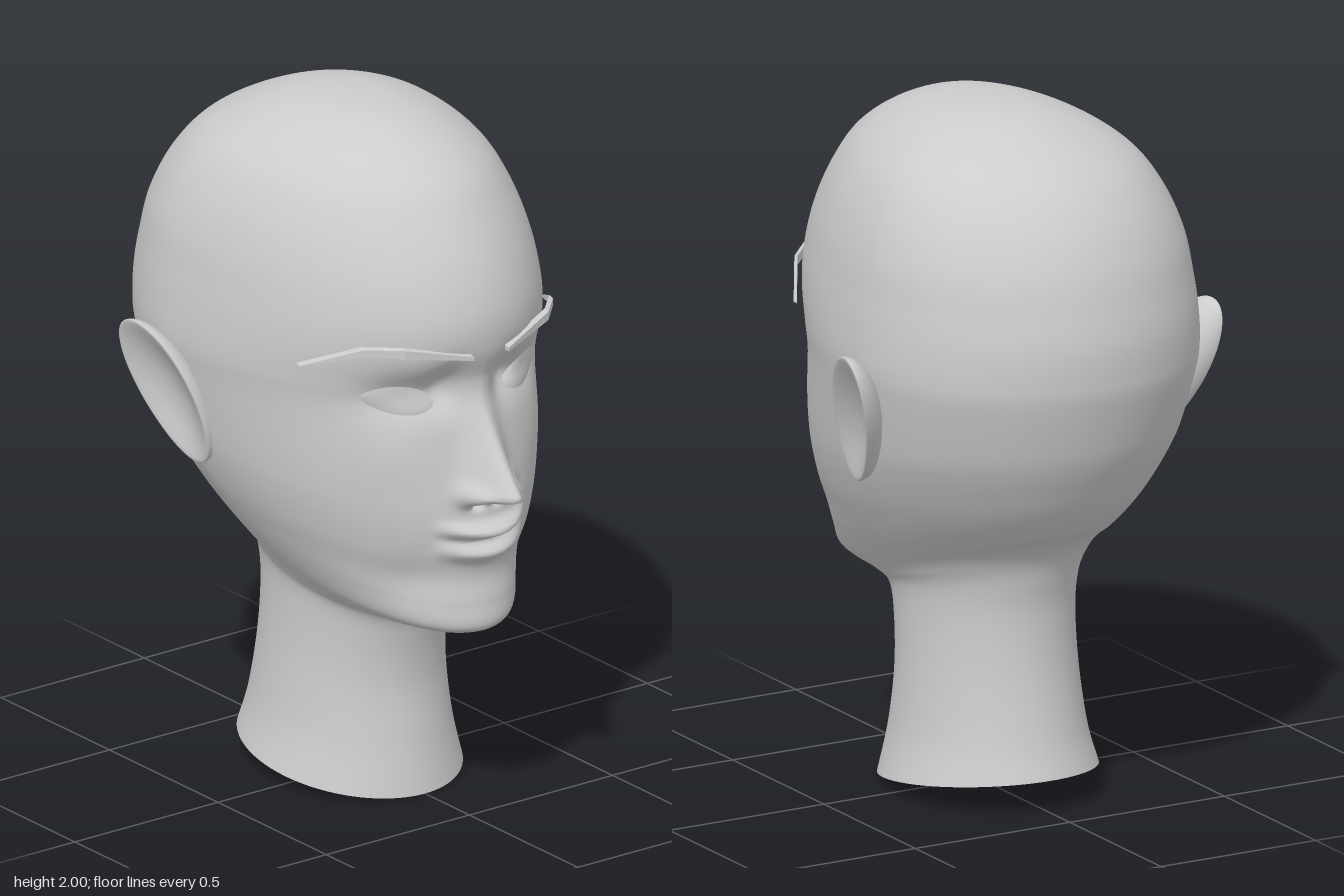
import * as THREE from 'three';
import { mergeVertices } from 'three/addons/utils/BufferGeometryUtils.js';

const material = new THREE.MeshStandardMaterial({ color: 0xcccccc, side: THREE.DoubleSide });

// Head and neck sections, bottom to top:
// front y, front z, back y, back z, half width, z of the widest point
const SECTIONS = [
  [0.00, 0.295, 0.095, -0.40, 0.295, -0.05],
  [0.15, 0.27, 0.20, -0.37, 0.262, -0.05],
  [0.31, 0.25, 0.38, -0.34, 0.242, -0.04],
  [0.45, 0.262, 0.55, -0.333, 0.235, -0.03],
  [0.535, 0.295, 0.66, -0.35, 0.24, -0.03],
  [0.555, 0.38, 0.73, -0.375, 0.26, -0.03],
  [0.56, 0.50, 0.785, -0.42, 0.28, -0.03],
  [0.585, 0.58, 0.83, -0.485, 0.307, -0.04],
  [0.66, 0.58, 0.88, -0.535, 0.348, -0.06],
  [0.74, 0.566, 0.93, -0.575, 0.385, -0.08],
  [0.82, 0.575, 0.99, -0.612, 0.42, -0.10],
  [0.92, 0.585, 1.06, -0.65, 0.452, -0.13],
  [1.02, 0.58, 1.13, -0.677, 0.474, -0.16],
  [1.22, 0.552, 1.27, -0.715, 0.502, -0.20],
  [1.32, 0.56, 1.34, -0.723, 0.512, -0.20],
  [1.42, 0.592, 1.43, -0.722, 0.507, -0.20],
  [1.52, 0.594, 1.52, -0.705, 0.495, -0.20],
  [1.64, 0.557, 1.64, -0.67, 0.473, -0.20],
  [1.76, 0.49, 1.76, -0.605, 0.428, -0.18],
  [1.86, 0.41, 1.86, -0.51, 0.36, -0.15],
  [1.94, 0.28, 1.94, -0.365, 0.25, -0.10],
  [1.987, 0.13, 1.987, -0.22, 0.125, -0.07],
  [2.00, -0.07, 2.00, -0.07, 0, -0.07],
];

// Smooth interpolation between neighbouring sections
function sectionAt(t) {
  const last = SECTIONS.length - 1;
  const i = Math.min(Math.floor(t), last - 1), f = t - i;
  const at = (k) => SECTIONS[Math.max(0, Math.min(last, k))];
  return SECTIONS[0].map((_, c) => {
    const a = at(i - 1)[c], b = at(i)[c], d = at(i + 1)[c], e = at(i + 2)[c];
    return b + 0.5 * f * (d - a + f * (2 * a - 5 * b + 4 * d - e + f * (3 * (b - d) + e - a)));
  });
}

// Surface through closed rings that all have the same number of points
function loft(rings) {
  const n = rings[0].length, index = [];
  for (let j = 0; j < rings.length - 1; j++) {
    for (let i = 0; i < n; i++) {
      const k = (i + 1) % n;
      const a = j * n + i, b = j * n + k, c = b + n, d = a + n;
      index.push(a, b, c, a, c, d);
    }
  }
  const geometry = new THREE.BufferGeometry();
  geometry.setAttribute('position', new THREE.Float32BufferAttribute(rings.flat(2), 3));
  geometry.setIndex(index);
  geometry.computeVertexNormals();
  return geometry;
}

const bump = (dx, sx, dy, sy) => Math.exp(-((dx / sx) ** 2) - (dy / sy) ** 2);

// Forward relief of the face
function relief(x, y) {
  const a = Math.abs(x);
  // nose ridge, wings and nostrils
  const rise = THREE.MathUtils.clamp((1.34 - y) / 0.33, 0, 1) ** 1.5;
  const width = 0.042 + 0.018 * rise;
  let d = 0.155 * rise * THREE.MathUtils.smoothstep(y, 0.955, 1.012) * Math.exp(-((a / width) ** 2));
  d += 0.04 * bump(a - 0.07, 0.028, y - 1.0, 0.03);
  d -= 0.03 * bump(a - 0.035, 0.018, y - 0.965, 0.012);
  // eye sockets
  d -= 0.04 * bump(a - 0.2, 0.1, y - 1.29, 0.06);
  d -= 0.04 * bump(a - 0.1, 0.05, y - 1.31, 0.07);
  // cheekbones and the hollows beside the chin
  d += 0.012 * bump(a - 0.27, 0.1, y - 1.12, 0.1);
  d -= 0.018 * bump(a - 0.2, 0.07, y - 0.72, 0.08);
  // smiling mouth
  const m = Math.max(0, 1 - (a / 0.16) ** 2), my = y - 0.9 * x * x;
  d += 0.012 * bump(x, 0.15, y - 0.86, 0.1);
  d += m * (0.045 * bump(0, 1, my - 0.885, 0.02) + 0.036 * bump(0, 1, my - 0.818, 0.024));
  d -= m * 0.01 * bump(0, 1, my - 0.856, 0.01);
  return d;
}

function headGeometry() {
  const rows = (SECTIONS.length - 1) * 12, sides = 180, rings = [];
  for (let j = 0; j <= rows; j++) {
    const [yf, zf, yb, zb, w, zc] = sectionAt(j / 12);
    const ring = [];
    for (let i = 0; i < sides; i++) {
      // points gather towards the face
      const s = (2 * i) / sides - 1;
      const angle = Math.PI * Math.sign(s) * Math.abs(s) ** 1.5;
      const c = Math.cos(angle), x = w * Math.sin(angle);
      const y = yb + ((yf - yb) * (1 + c)) / 2;
      const z = zc + c * (c > 0 ? zf - zc : zc - zb);
      ring.push([x, y, z + (c > 0 ? relief(x, y) : 0)]);
    }
    rings.push(ring);
  }
  return loft(rings);
}

// Almond-shaped patch lying on the skin
function eyeGeometry(skin) {
  const geometry = new THREE.PlaneGeometry(2, 2, 20, 10);
  const p = geometry.attributes.position;
  const ray = new THREE.Raycaster(), back = new THREE.Vector3(0, 0, -1);
  for (let i = 0; i < p.count; i++) {
    const u = p.getX(i), v = p.getY(i);
    const x = 0.212 + 0.093 * u;
    const y = 1.278 + 0.012 * u + 0.042 * v * Math.max(0, 1 - u * u) ** 0.7;
    ray.set(new THREE.Vector3(x, y, 2), back);
    const hit = ray.intersectObject(skin)[0];
    const z = hit ? hit.point.z : 0.43;
    p.setXYZ(i, x, y, z + 0.003 + 0.016 * (1 - u * u) * (1 - v * v));
  }
  geometry.computeVertexNormals();
  return geometry;
}

// Thin angular strip: x, upper y, lower y, z
function browGeometry() {
  const stations = [
    [0.06, 1.42, 1.405, 0.603],
    [0.25, 1.462, 1.433, 0.535],
    [0.33, 1.457, 1.431, 0.45],
    [0.43, 1.382, 1.376, 0.285],
  ];
  const rings = stations.map(([x, top, low, z]) => [
    [x, top, z - 0.018], [x, top - 0.004, z], [x, low, z], [x, low, z - 0.018],
  ]);
  const cap = (r) => r.map(() => r[0]);
  return loft([cap(rings[0]), ...rings, cap(rings[3])]).toNonIndexed();
}

// Egg-shaped ear, dished outside and tapering into the head
function earGeometry() {
  let geometry = new THREE.SphereGeometry(1, 48, 32);
  const p = geometry.attributes.position;
  for (let i = 0; i < p.count; i++) {
    const t = p.getX(i), v = p.getY(i), u = p.getZ(i);
    const y = 1.175 + 0.205 * v;
    const z = -0.2 - 0.07 * v + 0.12 * u * (1 + 0.1 * v);
    const depth = t > 0 ? 0.035 * t - 0.07 * t * t : 0.09 * t;
    p.setXYZ(i, 0.53 + 0.24 * (y - 1.175) - 0.15 * (z + 0.2) + depth, y, z);
  }
  geometry.deleteAttribute('uv');
  geometry.deleteAttribute('normal');
  geometry = mergeVertices(geometry, 1e-5);
  geometry.computeVertexNormals();
  return geometry;
}

export function createModel() {
  const group = new THREE.Group();
  const add = (name, geometry, side = 1) => {
    const mesh = new THREE.Mesh(geometry, material);
    mesh.name = name;
    mesh.scale.x = side;
    group.add(mesh);
    return mesh;
  };
  const skin = add('headAndNeck', headGeometry());
  const eye = eyeGeometry(skin), ear = earGeometry(), brow = browGeometry();
  brow.computeVertexNormals();
  for (const [label, side] of [['left', 1], ['right', -1]]) {
    add(label + 'Eye', eye, side);
    add(label + 'Ear', ear, side);
    add(label + 'Eyebrow', brow, side);
  }
  return group;
}
